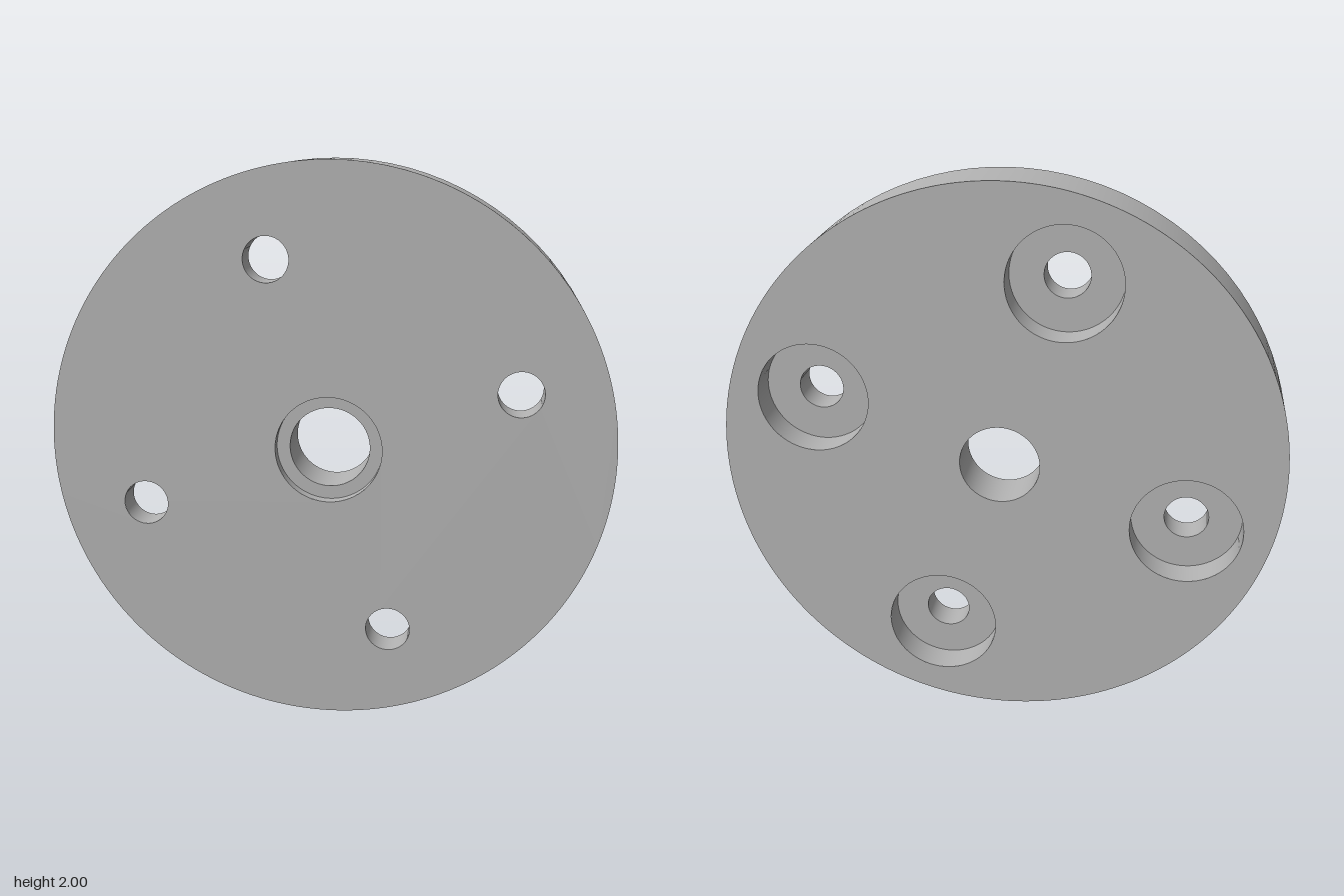
import * as THREE from 'three';
import { mergeGeometries } from 'three/addons/utils/BufferGeometryUtils.js';

const SEG = 96;
const R = 1, H = 0.115;                    // disc radius, half thickness
const BORE = 0.143, RECESS = 0.19, RECESS_Z = 0.07;
const BOLT = 0.08, POCKET = 0.2, POCKET_Z = 0;
const BOLT_CIRCLE = 0.7, BOLT_START = THREE.MathUtils.degToRad(18);

// Revolved wall around z; each profile segment is separate so edges stay sharp
function turned(profile) {
  const parts = [];
  for (let i = 0; i + 1 < profile.length; i++) {
    const pts = [profile[i], profile[i + 1]].map(([r, z]) => new THREE.Vector2(r, z));
    parts.push(new THREE.LatheGeometry(pts, SEG).rotateX(Math.PI / 2));
  }
  return mergeGeometries(parts);
}

// Flat disc with round holes, given as [x, y, radius]
function face(holes) {
  const shape = new THREE.Shape().absarc(0, 0, R, 0, Math.PI * 2);
  for (const [x, y, r] of holes) {
    shape.holes.push(new THREE.Path().absarc(x, y, r, 0, Math.PI * 2, true));
  }
  return new THREE.ShapeGeometry(shape, SEG);
}

export function createModel() {
  const group = new THREE.Group();
  group.name = 'flangePlate';
  const metal = new THREE.MeshStandardMaterial({ color: 0xb4b4b4 });
  metal.name = 'grey metal';

  const add = (name, geometry, x = 0, y = 0, z = 0) => {
    const mesh = new THREE.Mesh(geometry, metal);
    mesh.name = name;
    mesh.position.set(x, 1 + y, z);
    group.add(mesh);
  };

  const bolts = [0, 1, 2, 3].map((i) => {
    const a = BOLT_START + i * Math.PI / 2;
    return [Math.cos(a) * BOLT_CIRCLE, Math.sin(a) * BOLT_CIRCLE];
  });

  // Disc faces and rim
  add('frontFace', face([[0, 0, RECESS], ...bolts.map(([x, y]) => [x, y, BOLT])]), 0, 0, H);
  const back = face([[0, 0, BORE], ...bolts.map(([x, y]) => [-x, y, POCKET])]);
  add('backFace', back.rotateY(Math.PI), 0, 0, -H);
  add('rim', turned([[R, -H], [R, H]]));

  // Centre bore with a shallow recess at the front
  add('centreBore', turned([[RECESS, H], [RECESS, RECESS_Z], [BORE, RECESS_Z], [BORE, -H]]));

  // Bolt holes with counterbored pockets at the back
  const hole = turned([[BOLT, H], [BOLT, POCKET_Z], [POCKET, POCKET_Z], [POCKET, -H]]);
  bolts.forEach(([x, y], i) => add(`boltHole${i + 1}`, hole, x, y));

  return group;
}
